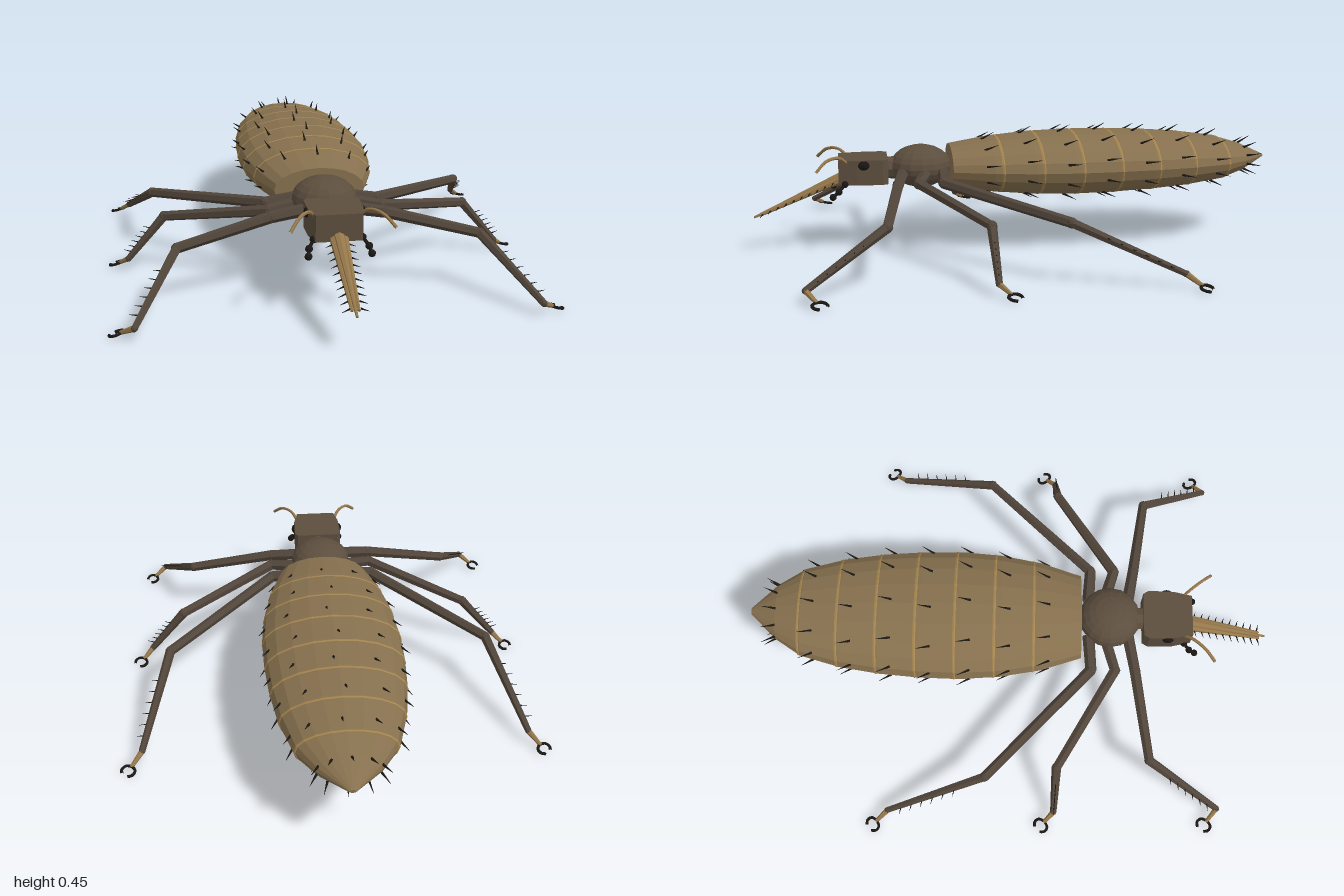
import * as THREE from 'three';
import { mergeGeometries } from 'three/addons/utils/BufferGeometryUtils.js';

const V = (x, y, z) => new THREE.Vector3(x, y, z);
const paint = (color) => new THREE.MeshStandardMaterial({ color, flatShading: true });

// Tapered rod from a to b
function rod(a, b, r0, r1, sides = 6) {
  const dir = b.clone().sub(a);
  const g = new THREE.CylinderGeometry(r1, r0, dir.length(), sides);
  g.applyQuaternion(new THREE.Quaternion().setFromUnitVectors(V(0, 1, 0), dir.normalize()));
  const mid = a.clone().add(b).multiplyScalar(0.5);
  return g.translate(mid.x, mid.y, mid.z);
}
const spike = (p, dir, len, r) => rod(p, p.clone().addScaledVector(dir.clone().normalize(), len), r, 0.0005, 5);
const ball = (p, r, w = 10, h = 8) => new THREE.SphereGeometry(r, w, h).translate(p.x, p.y, p.z);

export function createModel() {
  const root = new THREE.Group();
  const mats = {
    abdomen: paint(0x86704e), band: paint(0xa2834e), body: paint(0x5c4e3e),
    leg: paint(0x51453a), tan: paint(0x94764a), dark: paint(0x1a1613),
  };
  const add = (name, geo, mat, parent = root) => {
    const mesh = new THREE.Mesh(Array.isArray(geo) ? mergeGeometries(geo) : geo, mats[mat]);
    mesh.name = name;
    parent.add(mesh);
    return mesh;
  };

  // Abdomen: flattened lathe along -z
  const CY = 0.31, FLAT = 0.47;
  const profile = [[-0.25, 0.165], [-0.1, 0.215], [0.05, 0.243], [0.2, 0.255], [0.35, 0.252],
    [0.5, 0.24], [0.65, 0.217], [0.8, 0.175], [0.9, 0.11], [1, 0.012]];
  const radiusAt = (t) => {
    const i = Math.max(1, profile.findIndex((p) => p[0] >= t));
    const [a, b] = [profile[i - 1], profile[i]];
    return a[1] + (b[1] - a[1]) * (t - a[0]) / (b[0] - a[0]);
  };
  const points = [[-0.25, 0], ...profile, [1, 0]].map(([t, r]) => new THREE.Vector2(r, t));
  add('abdomen', new THREE.LatheGeometry(points, 20).rotateX(-Math.PI / 2).scale(1, FLAT, 1).translate(0, CY, 0), 'abdomen');

  // Pale segment bands
  const bands = [];
  for (let i = 0; i < 7; i++) {
    const t = -0.07 + i * 0.146;
    bands.push(new THREE.TorusGeometry(radiusAt(t) - 0.004, 0.007, 6, 20).scale(1, FLAT, 1).translate(0, CY, -t));
  }
  add('abdomenBands', bands, 'band');

  // Backswept bristles in rings
  const bristles = [];
  for (let i = 0; i < 8; i++) {
    const t = -0.13 + i * 0.147, r = radiusAt(t) - 0.003;
    for (let k = 0; k < 10; k++) {
      const a = Math.PI / 2 + k * Math.PI / 5 + (i % 2 ? 0.06 : -0.06);
      const c = Math.cos(a), s = Math.sin(a);
      bristles.push(spike(V(r * c, CY + r * s * FLAT, -t), V(c * 0.55, s * 0.55, -1), 0.055, 0.005));
    }
  }
  add('abdomenBristles', bristles, 'dark');

  // Thorax
  add('thorax', new THREE.SphereGeometry(0.116, 16, 12).scale(1, 0.69, 1).translate(0, CY, 0.36), 'body');
  add('neck', rod(V(0, 0.305, 0.42), V(0, 0.305, 0.52), 0.045, 0.04, 8), 'body');

  // Head: angular block, outline in plan
  const half = [[0.083, 0.485], [0.095, 0.505], [0.093, 0.6], [0.078, 0.668]];
  const outline = [...half, ...half.slice().reverse().map(([x, z]) => [-x, z])];
  const headShape = new THREE.Shape(outline.map(([x, z]) => new THREE.Vector2(x, -z)));
  add('head', new THREE.ExtrudeGeometry(headShape, { depth: 0.093, bevelEnabled: false })
    .rotateX(-Math.PI / 2).translate(0, 0.258, 0), 'body');

  // Piercing mouthparts with barbs
  const tip = V(0, 0.13, 0.985);
  add('beak', rod(V(0, 0.275, 0.65), tip, 0.022, 0.004, 8), 'tan');
  const barbs = [];
  for (const s of [-1, 1]) {
    const a = V(s * 0.019, 0.272, 0.65), b = V(s * 0.011, 0.14, 0.96);
    add('stylet', rod(a, b, 0.014, 0.005), 'tan');
    for (let i = 0; i < 10; i++) {
      const p = a.clone().lerp(b, 0.12 + i * 0.095);
      p.x += s * 0.006;
      barbs.push(spike(p, V(s, -0.25, 0.35), 0.028, 0.0035));
    }
  }
  add('beakBarbs', barbs, 'dark');

  // Eyes, feelers and beaded palps
  for (const s of [-1, 1]) {
    add('eye', new THREE.SphereGeometry(0.022, 10, 8).scale(0.6, 0.8, 1).translate(s * 0.092, 0.332, 0.575), 'dark');
    const arc = new THREE.CatmullRomCurve3([V(s * 0.075, 0.335, 0.63), V(s * 0.1, 0.364, 0.665),
      V(s * 0.137, 0.36, 0.71), V(s * 0.172, 0.325, 0.748)]);
    add('feeler', new THREE.TubeGeometry(arc, 12, 0.006, 6), 'tan');
    const beads = [V(s * 0.082, 0.262, 0.645), V(s * 0.1, 0.238, 0.668), V(s * 0.105, 0.22, 0.69)];
    add('palp', [...beads.map((p) => ball(p, 0.013)), rod(beads[0], beads[1], 0.006, 0.006, 10),
      rod(beads[1], beads[2], 0.006, 0.006, 10)], 'dark');
  }

  // Legs: hip, coxa end, knee, ankle, foot
  const legs = {
    frontLeg: [V(0.07, 0.295, 0.43), V(0.2, 0.28, 0.455), V(0.525, 0.205, 0.51), V(0.67, 0.045, 0.78), V(0.715, 0.018, 0.745)],
    middleLeg: [V(0.07, 0.295, 0.34), V(0.2, 0.28, 0.38), V(0.56, 0.205, 0.165), V(0.695, 0.045, 0.16), V(0.73, 0.018, 0.125)],
    backLeg: [V(0.07, 0.295, 0.28), V(0.2, 0.28, 0.29), V(0.6, 0.215, -0.1), V(0.7, 0.05, -0.47), V(0.738, 0.018, -0.515)],
  };
  for (const [name, path] of Object.entries(legs)) {
    for (const s of [1, -1]) {
      const leg = new THREE.Group();
      leg.name = name;
      const [hip, coxa, knee, ankle, foot] = path.map((p) => V(p.x * s, p.y, p.z));
      add('upperLeg', [rod(hip, coxa, 0.023, 0.021), rod(coxa, knee, 0.021, 0.018),
        ball(coxa, 0.021, 8, 6), ball(knee, 0.019, 8, 6)], 'leg', leg);
      add('shin', [rod(knee, ankle, 0.018, 0.012), ball(ankle, 0.012, 8, 6)], 'leg', leg);
      add('tarsus', rod(ankle, foot, 0.011, 0.007), 'tan', leg);

      // Outer shin spines
      const spines = [];
      const along = ankle.clone().sub(knee).normalize();
      const out = V(s, 0.25, 0).addScaledVector(along, -along.dot(V(s, 0.25, 0)));
      for (let i = 0; i < 6; i++) {
        spines.push(spike(knee.clone().lerp(ankle, 0.3 + i * 0.11), out.clone().normalize().addScaledVector(along, 0.4), 0.038, 0.0035));
      }
      add('shinSpines', spines, 'dark', leg);

      // Paired hooked claws
      const fwd = foot.clone().sub(ankle).setY(0).normalize();
      const side = V(-fwd.z, 0, fwd.x);
      for (const c of [-1, 1]) {
        const at = (f, w, y) => foot.clone().addScaledVector(fwd, f).addScaledVector(side, w * c).setY(y);
        const hook = new THREE.CatmullRomCurve3([at(-0.004, 0, 0.018), at(0.004, 0.022, 0.015), at(0.022, 0.026, 0.01), at(0.035, 0.014, 0.006)]);
        add('claw', new THREE.TubeGeometry(hook, 8, 0.0055, 6), 'dark', leg);
      }
      root.add(leg);
    }
  }
  return root;
}
